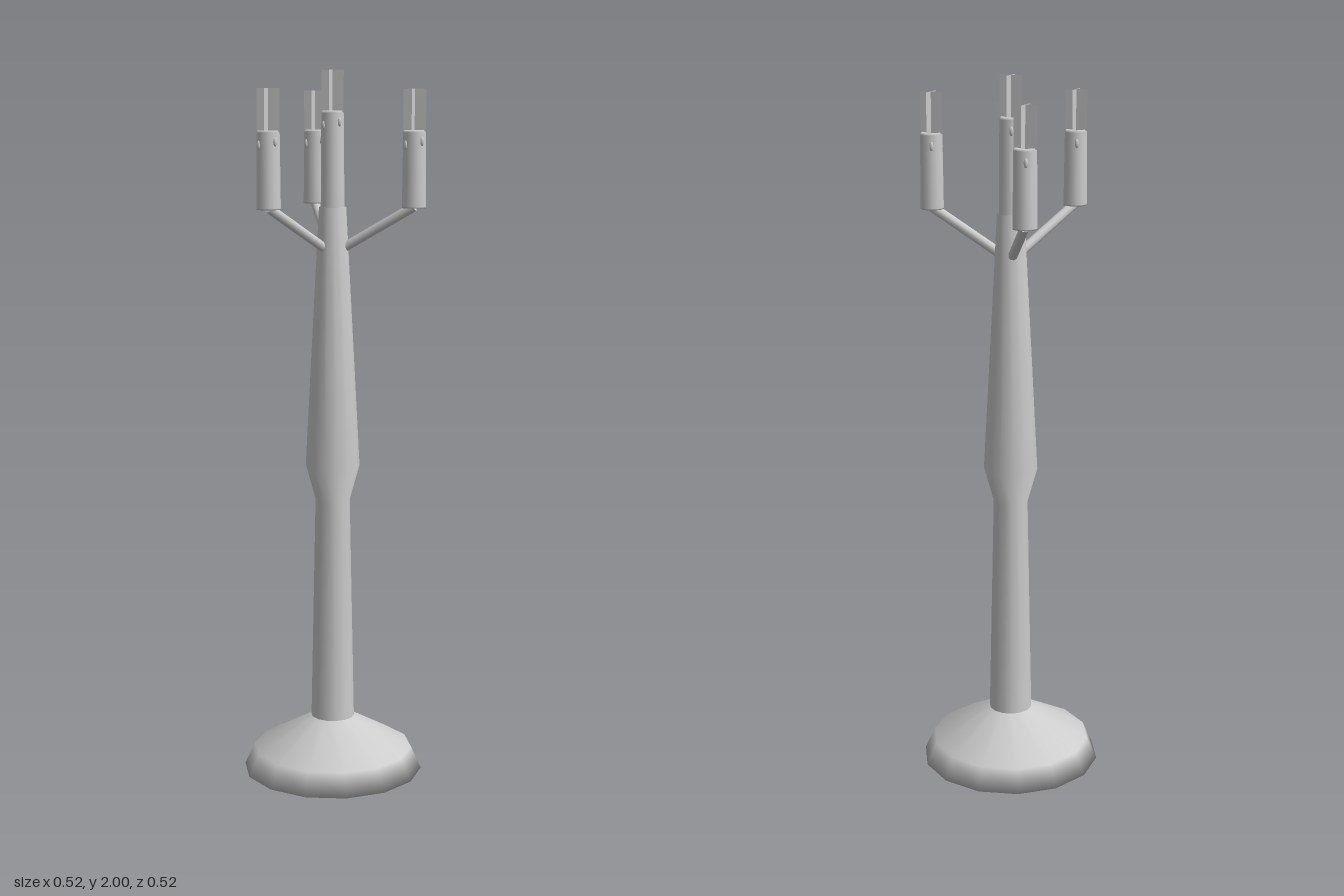
import * as THREE from 'three';

export function createModel() {
  const model = new THREE.Group();
  model.name = 'candelabra';
  const grey = new THREE.MeshStandardMaterial({ color: 0xcccccc });
  grey.name = 'grey';
  grey.side = THREE.DoubleSide;

  const add = (parent, name, geometry, x = 0, y = 0, z = 0) => {
    const mesh = new THREE.Mesh(geometry, grey);
    mesh.name = name;
    mesh.position.set(x, y, z);
    parent.add(mesh);
    return mesh;
  };
  const lathe = (points, sides) =>
    new THREE.LatheGeometry(points.map(([r, y]) => new THREE.Vector2(r, y)), sides);

  // The stem axis sits slightly off centre because one arm reaches further in x
  const body = new THREE.Group();
  body.name = 'body';
  body.position.x = -0.008;
  model.add(body);

  // Flared foot and tapering stem
  add(body, 'foot', lathe([[0, 0], [0.258, 0], [0.229, 0.064], [0.062, 0.157]], 14));
  add(body, 'stem', lathe([
    [0.062, 0.157], [0.049, 0.8], [0.0767, 0.9], [0.038, 1.628], [0, 1.63],
  ], 14));

  // Candle with wax drips and a flame made of two crossed planes
  const addCandle = (name, x, bottom, top, z) => {
    const candle = new THREE.Group();
    candle.name = name;
    candle.position.set(x, bottom, z);
    body.add(candle);
    const h = top - bottom;
    add(candle, 'wax', lathe([
      [0, 0], [0.033, 0], [0.033, 0.004], [0.031, h - 0.006], [0.027, h], [0, h - 0.003],
    ], 14));
    for (const [angle, drop] of [[0.6, 0.03], [2.2, 0.04], [4.3, 0.035]]) {
      const drip = add(candle, 'waxDrip', new THREE.SphereGeometry(0.006, 8, 6),
        0.03 * Math.cos(angle), h - drop, 0.03 * Math.sin(angle));
      drip.scale.y = 2.2;
    }
    for (const turn of [0, Math.PI / 2]) {
      const flame = add(candle, 'flame', new THREE.PlaneGeometry(0.064, 0.114), 0, h + 0.053, 0);
      flame.rotation.y = turn;
    }
  };
  addCandle('centreCandle', 0, 1.625, 1.89, 0);

  // Three sloping arms, each with its candle
  const up = new THREE.Vector3(0, 1, 0);
  ['leftArm', 'frontArm', 'backArm'].forEach((name, i) => {
    const a = [0, 2, -2][i] * Math.PI / 3;
    const c = Math.cos(a), s = Math.sin(a);
    const start = new THREE.Vector3(0.025 * c, 1.512, 0.025 * s);
    const end = new THREE.Vector3(0.233 * c, 1.632, 0.233 * s);
    const dir = end.clone().sub(start);
    const mid = start.clone().add(end).multiplyScalar(0.5);
    const arm = add(body, name, new THREE.CylinderGeometry(0.0135, 0.0135, dir.length(), 10),
      mid.x, mid.y, mid.z);
    arm.quaternion.setFromUnitVectors(up, dir.normalize());
    addCandle(name + 'Candle', 0.233 * c, 1.628, 1.838, 0.233 * s);
  });

  return model;
}
